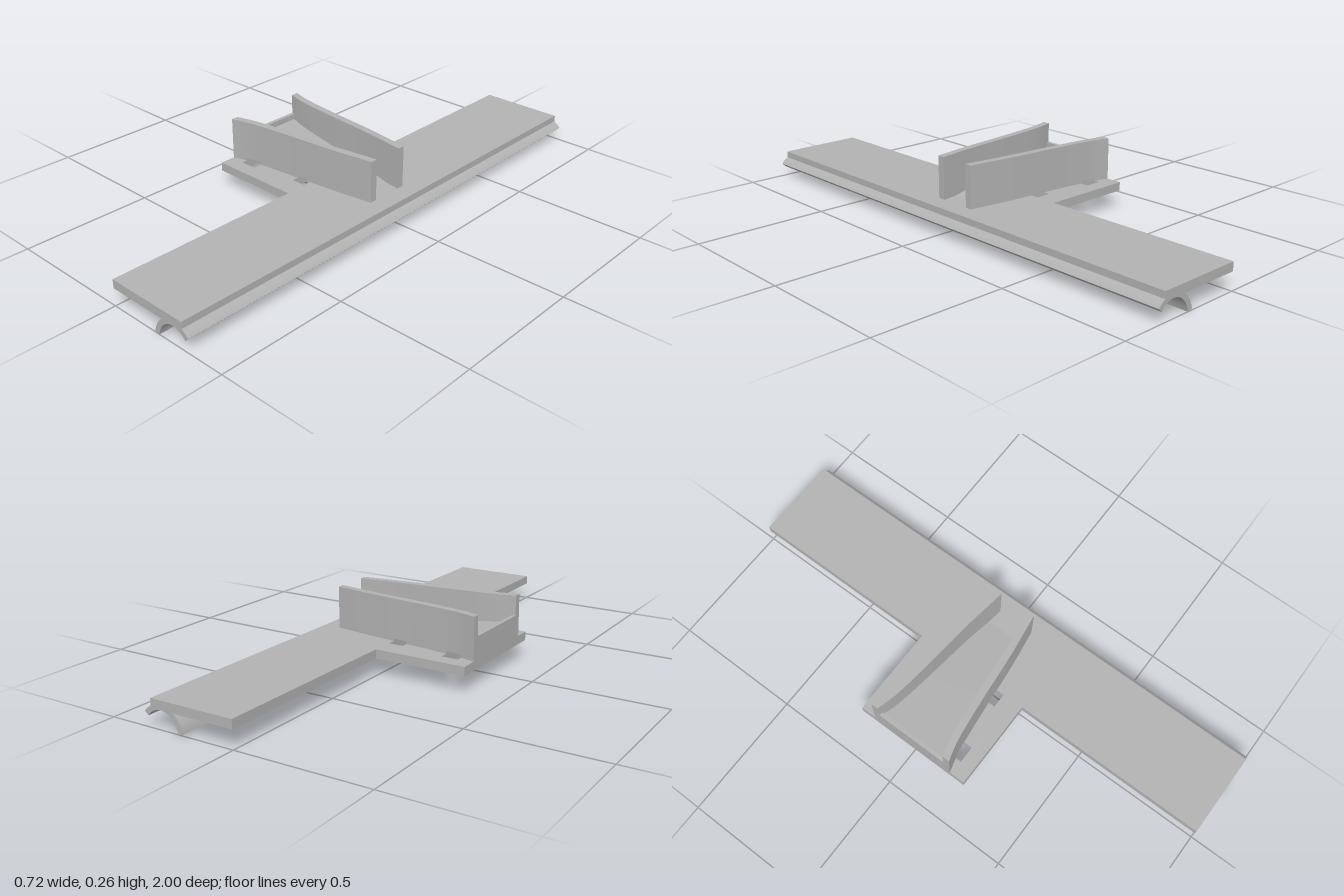
import * as THREE from 'three';
import { toCreasedNormals } from 'three/addons/utils/BufferGeometryUtils.js';

const TAB_BACK = -0.358, TAB_HALF = 0.235, Y0 = 0.07, Y1 = 0.103, WALL_TOP = 0.263;
const SLOT_TOP = 0.113;
// strap slots: x from, x to, half length along z
const SLOTS = [[-0.302, -0.236, 0.18], [-0.06, -0.003, 0.152]];

// Outer edge of the converging side walls, as z over x
const wallCurve = new THREE.SplineCurve([
  [-0.358, 0.173], [-0.27, 0.151], [-0.12, 0.132], [0.09, 0.111], [0.262, 0.087],
].map(p => new THREE.Vector2(...p)));
const wallPoints = wallCurve.getPoints(48);
const WALL = 0.028;

function wallZ(x) {
  for (let i = 1; i < wallPoints.length; i++) {
    const a = wallPoints[i - 1], b = wallPoints[i];
    if (x <= b.x) return a.y + (b.y - a.y) * (x - a.x) / (b.x - a.x);
  }
  return wallPoints[wallPoints.length - 1].y;
}

const shapeOf = pts => new THREE.Shape(pts.map(p => new THREE.Vector2(p[0], p[1])));
const extrude = (shape, depth) => new THREE.ExtrudeGeometry(shape, { depth, bevelEnabled: false });

// Plan shape (x, -z) raised from y0 to y1
function raise(shape, y0, y1) {
  return extrude(shape, y1 - y0).rotateX(-Math.PI / 2).translate(0, y0, 0);
}

export function createModel() {
  const group = new THREE.Group();
  const grey = new THREE.MeshStandardMaterial({ color: 0xb2b2b2 });
  grey.name = 'plain grey';
  const add = (name, geometry, parent = group) => {
    const mesh = new THREE.Mesh(toCreasedNormals(geometry, 0.5), grey);
    mesh.name = name;
    parent.add(mesh);
  };

  // Long bar with the curved channel under its edge, one profile along z
  const arc = (a, b, from, to, n = 28) => Array.from({ length: n + 1 }, (_, i) => {
    const t = THREE.MathUtils.degToRad(from + (to - from) * i / n);
    return [0.29 + a * Math.cos(t), -0.017 + b * Math.sin(t)];
  });
  const bar = shapeOf([
    [0, Y1], [0, Y0],
    ...arc(0.0929, 0.1054, 124.4, 166, 12),
    ...arc(0.073, 0.087, 166, 43),
    ...arc(0.0929, 0.1054, 43.5, 64.5, 8),
    [0.33, Y1],
  ]);
  add('channelBar', extrude(bar, 2).translate(0, 0, -1));

  // Tab with two strap slots
  const tab = shapeOf([[TAB_BACK, -TAB_HALF], [0, -TAB_HALF], [0, TAB_HALF], [TAB_BACK, TAB_HALF]]);
  for (const [a, b, h] of SLOTS) {
    tab.holes.push(new THREE.Path([[a, -h], [a, h], [b, h], [b, -h]].map(p => new THREE.Vector2(...p))));
  }
  add('tab', raise(tab, Y0, Y1));

  // Sloping cradle floor with a lip at its end, narrowed to fit between the walls
  const notches = SLOTS.flatMap(([a, b]) => [[a, Y1], [a, SLOT_TOP], [b, SLOT_TOP], [b, Y1]]);
  const floor = extrude(shapeOf([
    [TAB_BACK, Y1], ...notches, [0.2, Y1],
    [0.09, 0.118], [-0.12, 0.143], [-0.343, 0.165], [-0.343, 0.187], [TAB_BACK, 0.187],
  ]), 1);
  const pos = floor.attributes.position;
  for (let i = 0; i < pos.count; i++) {
    const half = wallZ(pos.getX(i)) - WALL * 0.6;
    pos.setZ(i, pos.getZ(i) > 0.5 ? half : -half);
  }
  floor.computeVertexNormals();
  add('cradleFloor', floor);

  // Curved side walls: feet between the slots, then the full length above them
  const wallPart = (side, x0, x1, y0, y1) => {
    const xs = [x0, ...wallPoints.map(p => p.x).filter(x => x > x0 + 0.001 && x < x1 - 0.001), x1];
    const outer = xs.map(x => [x, -side * wallZ(x)]);
    const inner = xs.map(x => [x, -side * (wallZ(x) - WALL)]).reverse();
    return raise(shapeOf([...outer, ...inner]), y0, y1);
  };
  const ends = [TAB_BACK, ...SLOTS.flatMap(s => [s[0], s[1]]), 0.262];
  for (const side of [1, -1]) {
    const wall = new THREE.Group();
    wall.name = side > 0 ? 'frontWall' : 'backWall';
    for (let i = 0; i < ends.length; i += 2) {
      add('wallFoot', wallPart(side, ends[i], ends[i + 1], Y1, SLOT_TOP), wall);
    }
    add('wallPanel', wallPart(side, TAB_BACK, 0.262, SLOT_TOP, WALL_TOP), wall);
    group.add(wall);
  }
  return group;
}
